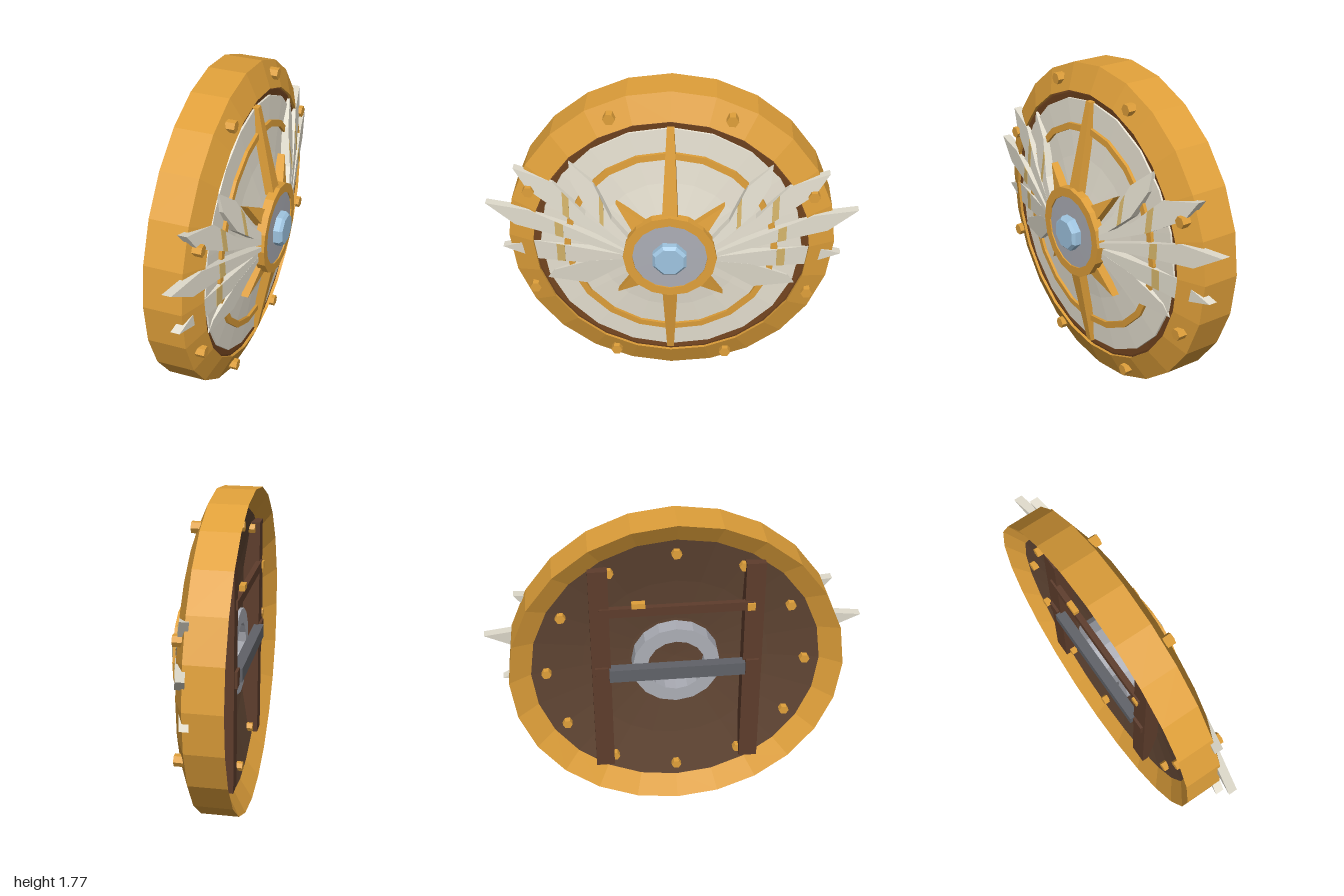
import * as THREE from 'three';

const mat = (name, color) =>
  new THREE.MeshStandardMaterial({ name, color, flatShading: true, side: THREE.DoubleSide });

export function createModel() {
  const gold = mat('gold', 0xe0a03a);
  const bone = mat('bone', 0xebe5d5);
  const feather = mat('feather', 0xe1dccd);
  const tan = mat('tan band', 0xd4b46a);
  const leather = mat('leather', 0x72441f);
  const board = mat('dark wood', 0x604533);
  const plank = mat('plank wood', 0x5e3d2c);
  const steel = mat('steel', 0xacaeb6);
  const darkSteel = mat('dark steel', 0x606268);
  const blue = mat('blue gem', 0x9fc5e1);

  // Built facing +z around the origin, then turned to face +x.
  const shield = new THREE.Group();
  shield.name = 'shield';
  shield.rotation.y = Math.PI / 2;
  shield.position.y = 0.885;

  const add = (name, geo, material, x = 0, y = 0, z = 0) => {
    const m = new THREE.Mesh(geo, material);
    m.name = name;
    m.position.set(x, y, z);
    shield.add(m);
    return m;
  };
  // Turned part: profile of [radius, depth]
  const turned = (name, profile, sides, material) =>
    add(name, new THREE.LatheGeometry(profile.map(p => new THREE.Vector2(...p)), sides).rotateX(Math.PI / 2), material);
  // Sloped plate: outline extruded so its front follows front(x, y)
  const slab = (name, outline, front, thick, material) => {
    const shape = new THREE.Shape(outline.map(p => new THREE.Vector2(...p)));
    const geo = new THREE.ExtrudeGeometry(shape, { depth: 1, bevelEnabled: false });
    const p = geo.attributes.position;
    for (let i = 0; i < p.count; i++) {
      p.setZ(i, front(p.getX(i), p.getY(i)) - thick * (1 - p.getZ(i)));
    }
    geo.computeVertexNormals();
    return add(name, geo, material);
  };
  const box = (name, w, h, d, material, x, y, z) =>
    add(name, new THREE.BoxGeometry(w, h, d), material, x, y, z);

  // Body
  turned('rim', [[0.885, -0.22], [0.885, -0.015], [0.745, 0.045], [0.745, 0], [0.77, -0.15], [0.885, -0.22]], 24, gold);
  turned('leatherRing', [[0.755, 0.025], [0.735, 0.03], [0.69, 0.025], [0.68, 0]], 24, leather);
  turned('dome', [[0.708, 0.01], [0.704, 0.036], [0.57, 0.045], [0.4, 0.062], [0.25, 0.085], [0, 0.125]], 20, bone);
  turned('domeBand', [[0.575, 0.03], [0.575, 0.062], [0.54, 0.064], [0.54, 0.03]], 20, gold);
  turned('backBoard', [[0, -0.055], [0.25, -0.065], [0.5, -0.098], [0.78, -0.152]], 24, board);

  // Hub
  turned('hub', [[0, 0.125], [0.25, 0.125], [0.25, 0.175], [0.2, 0.175], [0.2, 0.15]], 16, gold);
  turned('hubDisc', [[0.202, 0.168], [0, 0.17]], 16, steel);
  turned('boss', [[0.097, 0.16], [0.097, 0.202], [0.081, 0.217], [0, 0.217]], 8, blue).rotation.z = Math.PI / 8;

  // Long upright spokes and short diagonal spikes
  for (const turn of [0, Math.PI]) {
    slab('spoke', [[-0.042, 0.22], [0.042, 0.22], [0.019, 0.71], [-0.019, 0.71]],
      (x, y) => 0.155 - 0.2 * (y - 0.22), 0.048, gold).rotation.z = turn;
  }
  for (let i = 0; i < 4; i++) {
    slab('spike', [[-0.048, 0.21], [0.048, 0.21], [0, 0.405]],
      (x, y) => 0.15 - 0.25 * (y - 0.21), 0.048, gold).rotation.z = Math.PI / 4 + i * Math.PI / 2;
  }

  // Hexagonal rivets on the rim and on the back board
  const rivets = (name, count, start, r, size, z) => {
    const geo = new THREE.CylinderGeometry(size, size, 0.05, 6).rotateX(Math.PI / 2).rotateZ(Math.PI / 6);
    for (let i = 0; i < count; i++) {
      const a = start + i * 2 * Math.PI / count;
      add(name, geo, gold, r * Math.cos(a), r * Math.sin(a), z);
    }
  };
  rivets('rimRivet', 8, Math.PI / 8, 0.814, 0.032, 0.026);
  rivets('backRivet', 12, 0, 0.69, 0.027, -0.14);

  // Wing feathers: outline, lift and painted band range
  const feathers = [
    { pts: [[0.53, 0.5], [0.4, 0.39], [0.31, 0.2], [0.2, 0.08], [0.24, 0.06], [0.43, 0.23], [0.52, 0.39]], lift: 0, band: [0.35, 0.372] },
    { pts: [[0.83, 0.43], [0.62, 0.38], [0.45, 0.21], [0.22, 0.06], [0.24, 0.04], [0.54, 0.18], [0.76, 0.32]], lift: 0.006, band: [0.535, 0.57] },
    { pts: [[1, 0.2], [0.76, 0.195], [0.46, 0.1], [0.22, 0.02], [0.22, 0], [0.52, 0.05], [0.84, 0.095]], lift: 0.01, band: [0.572, 0.617] },
    { pts: [[0.925, -0.08], [0.74, -0.005], [0.46, -0.008], [0.22, -0.012], [0.22, -0.035], [0.48, -0.105], [0.73, -0.125]], lift: -0.01, band: [0.572, 0.617] },
    { pts: [[0.68, -0.25], [0.64, -0.19], [0.435, -0.085], [0.22, -0.035], [0.22, -0.06], [0.45, -0.245]], lift: -0.01 },
  ];
  // Keep the part of an outline on one side of x = limit
  const clip = (pts, limit, sign) => pts.flatMap((a, i) => {
    const b = pts[(i + 1) % pts.length];
    const da = (a[0] - limit) * sign, db = (b[0] - limit) * sign;
    const out = da >= 0 ? [a] : [];
    if (da * db < 0) {
      const t = da / (da - db);
      out.push([limit, a[1] + t * (b[1] - a[1])]);
    }
    return out;
  });
  for (const side of [-1, 1]) {
    for (const { pts, lift, band } of feathers) {
      const len = Math.hypot(...pts[0]);
      const front = (x, y) => 0.152 + lift - 0.224 * ((side * x * pts[0][0] + y * pts[0][1]) / len - 0.24);
      const flip = list => list.map(([x, y]) => [side * x, y]);
      slab('feather', flip(pts), front, 0.048, feather);
      if (band) {
        const strip = clip(clip(pts, band[0], 1), band[1], -1);
        slab('featherBand', flip(strip), (x, y) => front(x, y) + 0.003, 0.005, tan);
      }
    }
  }

  // Back: uprights, strap, grip ring and grip bar
  for (const s of [-1, 1]) {
    box('upright', 0.1, 1.26, 0.09, plank, s * 0.4, 0, -0.145);
    box('gripMount', 0.07, 0.09, 0.03, plank, s * 0.4, 0, -0.19);
  }
  box('strap', 0.8, 0.05, 0.03, plank, 0, 0.385, -0.185);
  box('strapBuckle', 0.07, 0.03, 0.03, gold, 0.2, 0.425, -0.19);
  box('strapBolt', 0.04, 0.04, 0.03, gold, -0.38, 0.385, -0.197);
  turned('gripRing', [[0.235, -0.055], [0.155, -0.055], [0.155, -0.15], [0.235, -0.15], [0.235, -0.055]], 16, steel);
  box('gripBar', 0.72, 0.075, 0.055, darkSteel, 0, 0, -0.19);

  const model = new THREE.Group();
  model.name = 'wingedShield';
  model.add(shield);
  return model;
}
